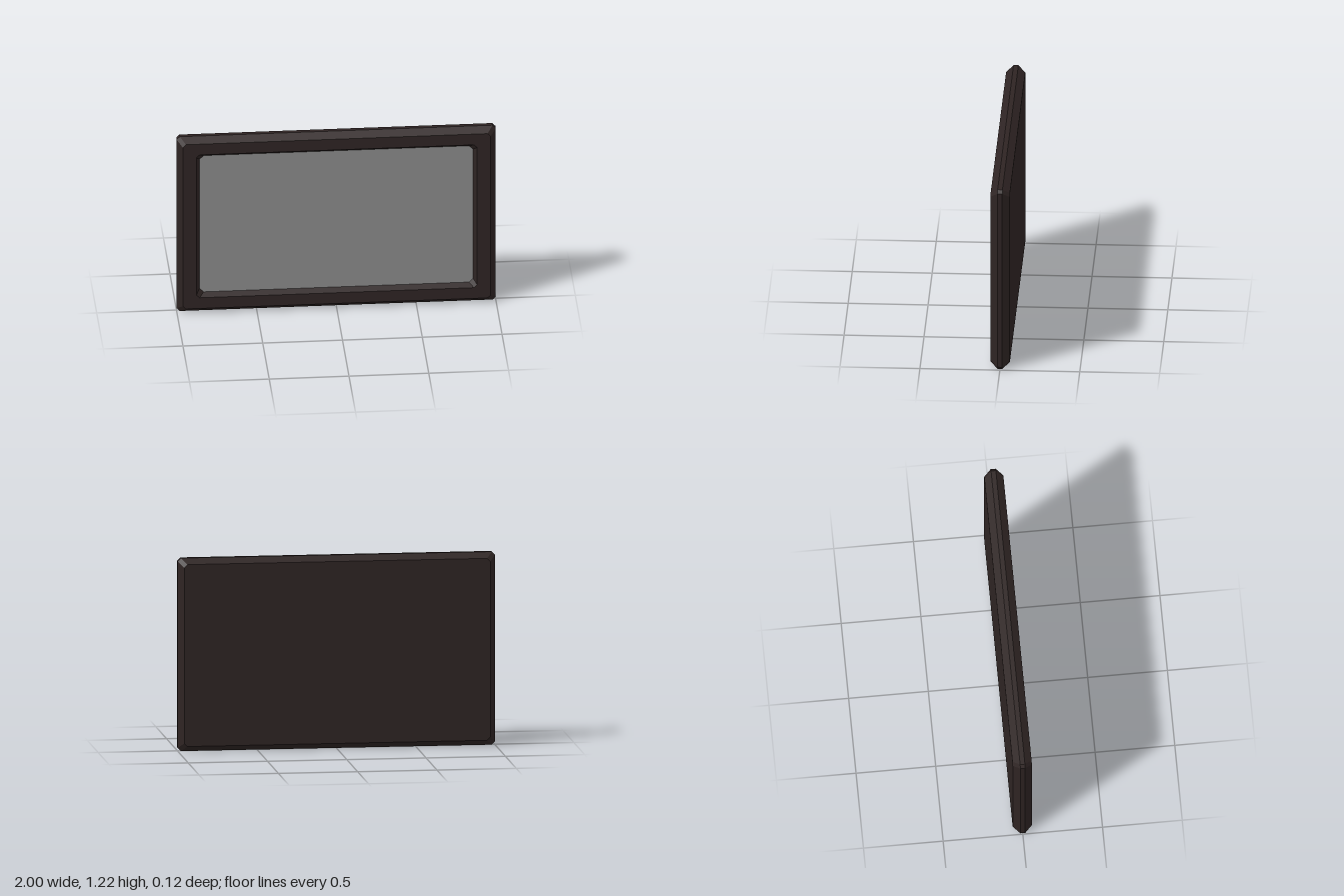
import * as THREE from 'three';

const HEIGHT = 1.22;

// Rectangle with cut corners, counter-clockwise seen from +z
function cutRect(w, h, c) {
  return [
    [w, -h + c], [w, h - c], [w - c, h], [-w + c, h],
    [-w, h - c], [-w, -h + c], [-w + c, -h], [w - c, -h],
  ].map(([x, y]) => new THREE.Vector2(x, y));
}

// Faceted skin joining successive cut-corner rings [halfWidth, halfHeight, cut, z]
function ringSkin(rings) {
  const loops = rings.map(([w, h, c, z]) => cutRect(w, h, c).map((p) => [p.x, p.y, z]));
  const pos = [];
  for (let r = 0; r < loops.length - 1; r++) {
    const a = loops[r], b = loops[r + 1];
    for (let i = 0; i < 8; i++) {
      const j = (i + 1) % 8;
      pos.push(...a[i], ...a[j], ...b[j], ...a[i], ...b[j], ...b[i]);
    }
  }
  const geo = new THREE.BufferGeometry();
  geo.setAttribute('position', new THREE.Float32BufferAttribute(pos, 3));
  geo.computeVertexNormals();
  return geo;
}

function plate(w, h, c) {
  return new THREE.ShapeGeometry(new THREE.Shape(cutRect(w, h, c)));
}

export function createModel() {
  const group = new THREE.Group();
  group.name = 'framedPanel';

  const frameMat = new THREE.MeshStandardMaterial({ color: 0x2e2423 });
  frameMat.name = 'dark brown frame';
  const screenMat = new THREE.MeshStandardMaterial({ color: 0x8a8a8a });
  screenMat.name = 'grey screen';

  const add = (name, geo, mat) => {
    const mesh = new THREE.Mesh(geo, mat);
    mesh.name = name;
    mesh.position.y = HEIGHT / 2;
    group.add(mesh);
    return mesh;
  };

  // Bevelled frame, from the back rim round the edge and into the recess
  add('frame', ringSkin([
    [0.965, 0.575, 0.02, -0.06],
    [1.0, 0.61, 0.02, -0.015],
    [1.0, 0.61, 0.02, 0.015],
    [0.965, 0.575, 0.02, 0.06],
    [0.88, 0.5, 0.02, 0.06],
    [0.857, 0.477, 0.025, 0.025],
  ]), frameMat);

  // Closed back
  const back = add('backPanel', plate(0.965, 0.575, 0.02), frameMat);
  back.rotation.y = Math.PI;
  back.position.z = -0.06;

  // Recessed screen
  add('screen', plate(0.857, 0.477, 0.025), screenMat).position.z = 0.025;

  return group;
}
